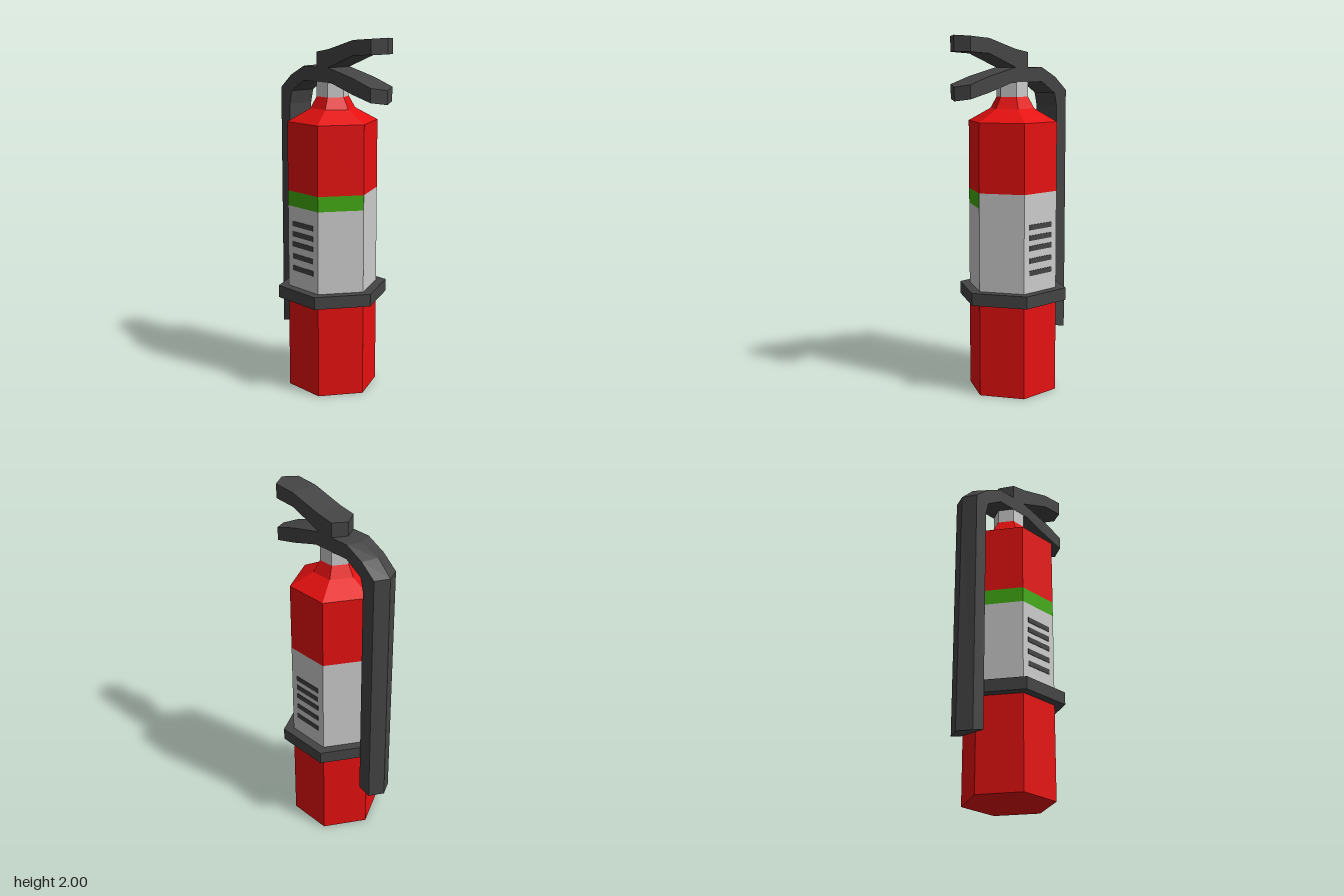
import * as THREE from 'three';

const material = (color) => new THREE.MeshStandardMaterial({ color, flatShading: true });
const AXIS_X = -0.0145; // the tank sits slightly off centre
const R = 0.255;

// Six-sided turned part; profile is [radius, y] from bottom to top
function hexTurned(name, profile, mat, start = -Math.PI / 2, sides = 6) {
  const points = profile.map(([r, y]) => new THREE.Vector2(r, y));
  const geometry = new THREE.LatheGeometry(points, sides, start, sides * Math.PI / 3);
  const mesh = new THREE.Mesh(geometry, mat);
  mesh.name = name;
  mesh.position.x = AXIS_X;
  return mesh;
}

// Bar with an outline on both flat sides and a ridge outline along its middle (counter-clockwise)
function ridgedBar(name, side, ridge, halfWidth, mat) {
  const n = side.length;
  const layers = [[side, halfWidth], [ridge, 0], [side, -halfWidth]];
  const positions = layers.flatMap(([outline, z]) => outline.flatMap(([x, y]) => [x, y, z]));
  const index = [];
  for (let layer = 0; layer < 2; layer++) {
    for (let i = 0; i < n; i++) {
      const a = layer * n + i, b = layer * n + (i + 1) % n;
      index.push(a, a + n, b, b, a + n, b + n);
    }
  }
  const caps = THREE.ShapeUtils.triangulateShape(side.map(([x, y]) => new THREE.Vector2(x, y)), []);
  for (const [a, b, c] of caps) index.push(a, b, c, 2 * n + a, 2 * n + c, 2 * n + b);
  const indexed = new THREE.BufferGeometry();
  indexed.setAttribute('position', new THREE.Float32BufferAttribute(positions, 3));
  indexed.setIndex(index);
  const geometry = indexed.toNonIndexed();
  geometry.computeVertexNormals();
  const mesh = new THREE.Mesh(geometry, mat);
  mesh.name = name;
  return mesh;
}

export function createModel() {
  const model = new THREE.Group();
  model.name = 'fireExtinguisher';
  const red = material(0xe61010);
  const grey = material(0xcccccc);
  const green = material(0x42aa12);
  const dark = material(0x444444);

  // Tank, label and neck
  model.add(
    hexTurned('tankBase', [[0, 0], [R, 0], [R, 0.6]], red),
    hexTurned('label', [[R, 0.6], [R, 1.065]], grey),
    hexTurned('labelFrontBand', [[R, 1.065], [R, 1.15]], green, -Math.PI / 2, 3),
    hexTurned('labelBackTop', [[R, 1.065], [R, 1.15]], grey, Math.PI / 2, 3),
    hexTurned('tankTop', [[R, 1.15], [R, 1.535], [0.127, 1.605], [0.09, 1.67], [0, 1.67]], red),
    hexTurned('neck', [[0.09, 1.67], [0.09, 1.77]], grey),
    hexTurned('strap', [[R, 0.53], [0.313, 0.53], [0.313, 0.6], [R, 0.6]], dark),
  );

  // Printed lines on the front and back of the label
  const lines = new THREE.Group();
  lines.name = 'labelLines';
  for (const y of [0.967, 0.908, 0.85, 0.78, 0.711]) {
    for (const z of [0.221, -0.221]) {
      const line = new THREE.Mesh(new THREE.BoxGeometry(0.174, 0.029, 0.006), dark);
      line.name = 'labelLine';
      line.position.set(AXIS_X, y, z);
      lines.add(line);
    }
  }
  model.add(lines);

  // Hose running over the neck into the lower handle
  const inner = [[-0.17, 1.75], [-0.275, 1.685], [-0.293, 1.61], [-0.293, 0.32]];
  const hoseSide = [
    ...inner, [-0.37, 0.3], [-0.37, 1.7], [-0.28, 1.775], [-0.17, 1.83],
    [0.04, 1.83], [0.235, 1.785], [0.37, 1.743], [0.37, 1.667], [0.23, 1.7], [0.06, 1.75],
  ].reverse();
  const hoseRidge = [
    ...inner, [-0.415, 0.3], [-0.408, 1.7], [-0.32, 1.785], [-0.203, 1.83],
    [0.04, 1.83], [0.235, 1.785], [0.415, 1.73], [0.415, 1.655], [0.23, 1.7], [0.06, 1.75],
  ].reverse();
  model.add(ridgedBar('hoseAndLowerHandle', hoseSide, hoseRidge, 0.079, dark));

  // Upper squeeze lever
  const leverSide = [
    [-0.058, 1.83], [0.035, 1.83], [0.235, 1.905], [0.37, 1.913],
    [0.37, 1.995], [0.235, 1.985], [0.04, 1.93], [-0.058, 1.913],
  ];
  const leverRidge = [
    [-0.103, 1.83], [0.035, 1.83], [0.235, 1.905], [0.415, 1.915],
    [0.415, 2], [0.235, 1.985], [0.04, 1.93], [-0.103, 1.908],
  ];
  model.add(ridgedBar('upperLever', leverSide, leverRidge, 0.079, dark));
  return model;
}
